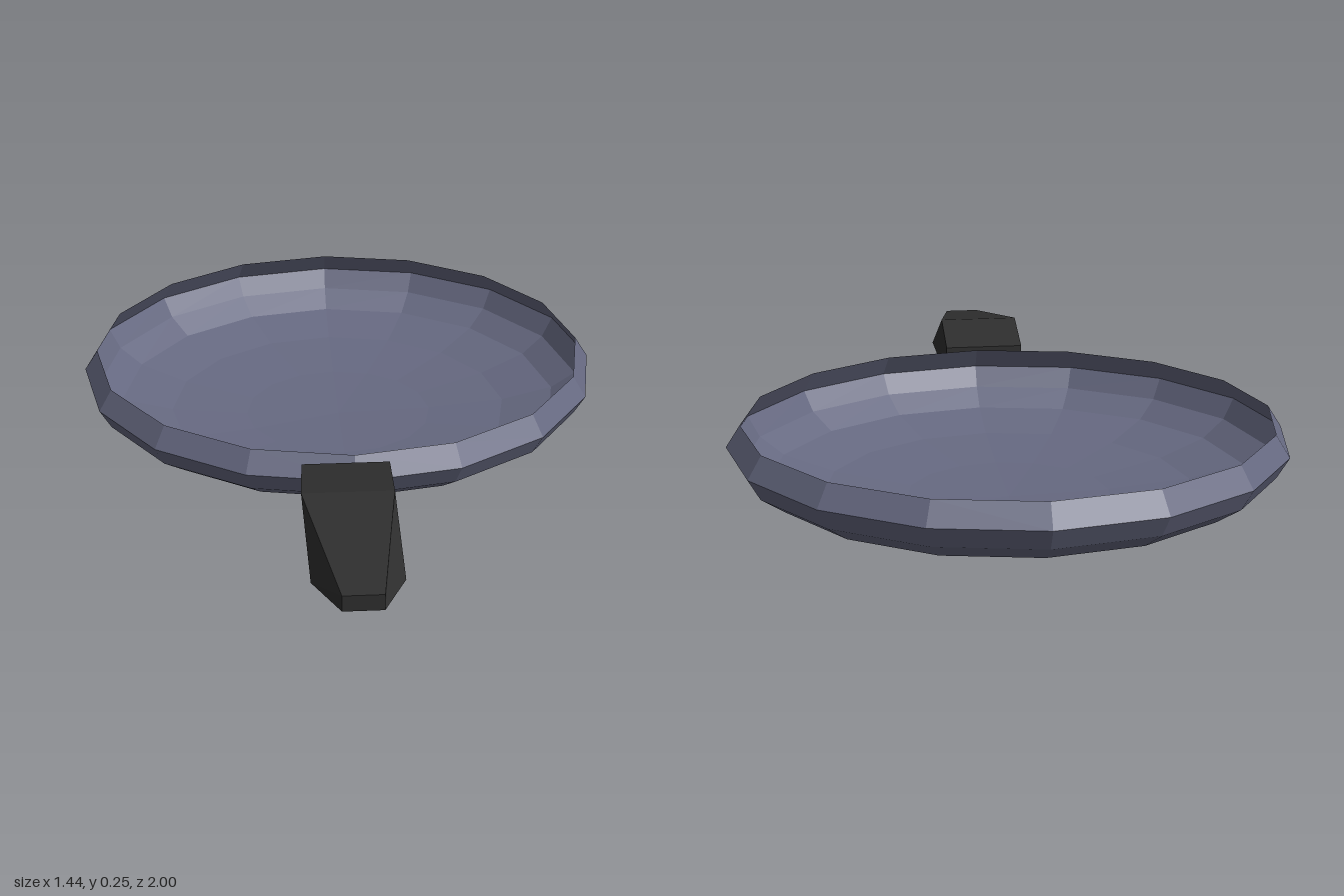
import * as THREE from 'three';

export function createModel() {
  const group = new THREE.Group();

  // Bowl: thin, open, low-poly shell with a slightly inturned rim
  const profile = [
    [0, 0], [0.265, 0.008], [0.48, 0.028], [0.623, 0.063],
    [0.69, 0.108], [0.722, 0.163], [0.685, 0.22],
  ].map(([r, y]) => new THREE.Vector2(r, y));
  const bowl = new THREE.Mesh(
    new THREE.LatheGeometry(profile, 16),
    new THREE.MeshStandardMaterial({ color: 0x666981, flatShading: true, side: THREE.DoubleSide })
  );
  bowl.name = 'panBowl';
  bowl.scale.z = 0.985;
  bowl.position.z = -0.289;
  group.add(bowl);

  // Handle: box with three skewed sections, [left x, right x, y, z] for each edge
  const sections = [
    { top: [-0.137, 0.085, 0.22, 0.425], bottom: [-0.137, 0.087, 0.133, 0.425] },
    { top: [-0.147, 0.078, 0.255, 0.635], bottom: [-0.135, 0.087, 0.133, 0.84] },
    { top: [-0.073, 0.024, 0.197, 1], bottom: [-0.073, 0.024, 0.156, 1] },
  ];
  const geometry = new THREE.BoxGeometry(1, 1, 2, 1, 1, 2);
  const pos = geometry.attributes.position;
  for (let i = 0; i < pos.count; i++) {
    const section = sections[Math.round(pos.getZ(i)) + 1];
    const [x0, x1, y, z] = pos.getY(i) > 0 ? section.top : section.bottom;
    pos.setXYZ(i, pos.getX(i) < 0 ? x0 : x1, y, z);
  }
  geometry.computeVertexNormals();
  const handle = new THREE.Mesh(
    geometry,
    new THREE.MeshStandardMaterial({ color: 0x2e2e2e, flatShading: true })
  );
  handle.name = 'handle';
  group.add(handle);

  return group;
}
